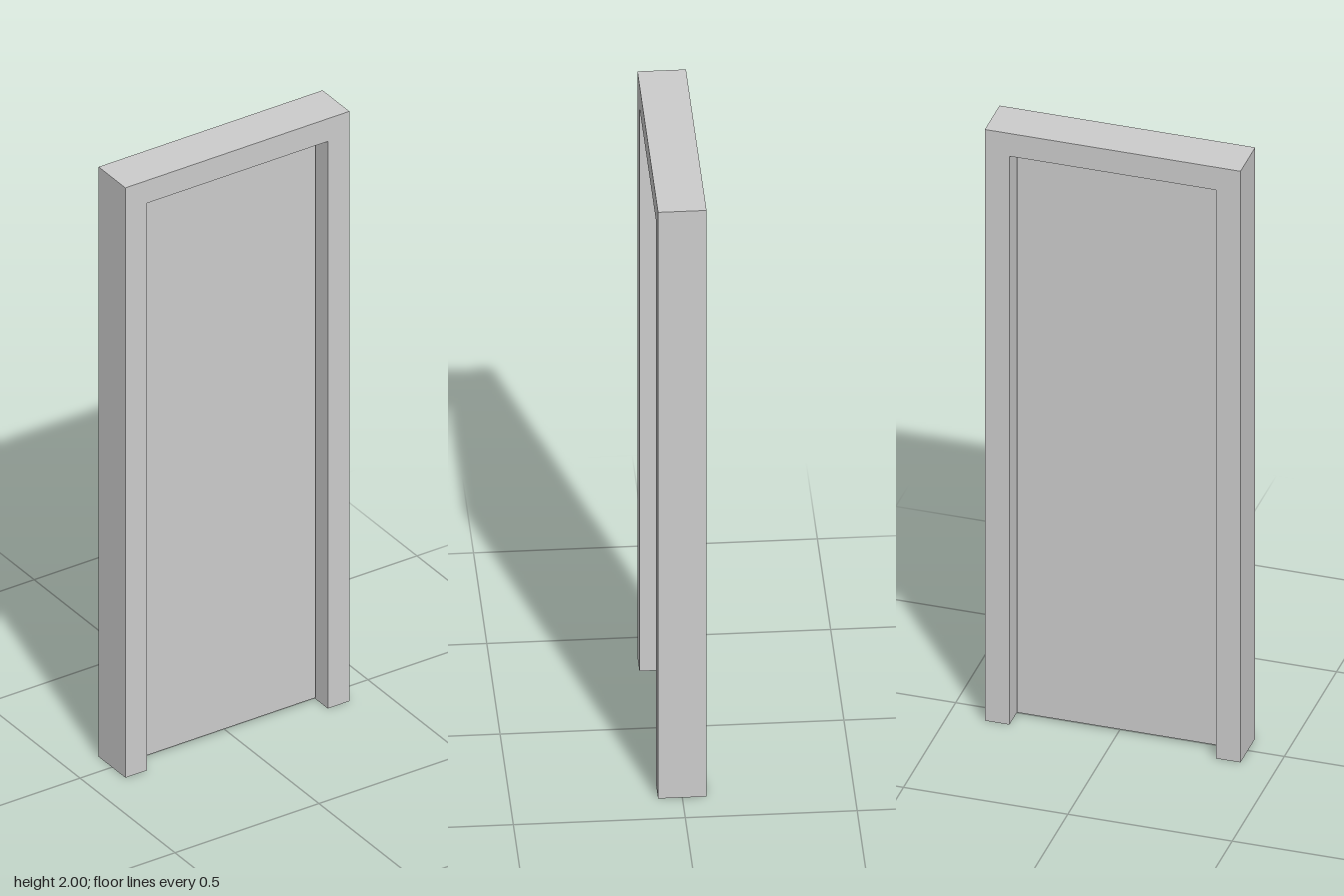
import * as THREE from 'three';

export function createModel() {
  const model = new THREE.Group();
  const grey = new THREE.MeshStandardMaterial({ color: 0xcccccc });
  grey.name = 'light grey';

  const halfW = 0.389, height = 2, depth = 0.141;
  const openW = 0.314, openH = 1.923; // doorway half width and height
  const gap = 0.005;

  // Frame: two jambs and a head in one n-shaped extrusion, open at the floor
  const outline = new THREE.Shape([
    [-halfW, 0], [-openW, 0], [-openW, openH], [openW, openH],
    [openW, 0], [halfW, 0], [halfW, height], [-halfW, height],
  ].map(([x, y]) => new THREE.Vector2(x, y)));
  const frameGeometry = new THREE.ExtrudeGeometry(outline, { depth, bevelEnabled: false });
  frameGeometry.translate(0, 0, -depth / 2);
  const frame = new THREE.Mesh(frameGeometry, grey);
  frame.name = 'doorFrame';
  model.add(frame);

  // Door leaf: thin panel in the middle of the frame, with a small gap all round
  const bottom = 0.009, top = openH - gap;
  const leaf = new THREE.Mesh(
    new THREE.BoxGeometry(2 * (openW - gap), top - bottom, 0.025), grey);
  leaf.position.y = (top + bottom) / 2;
  leaf.name = 'doorLeaf';
  model.add(leaf);

  return model;
}
